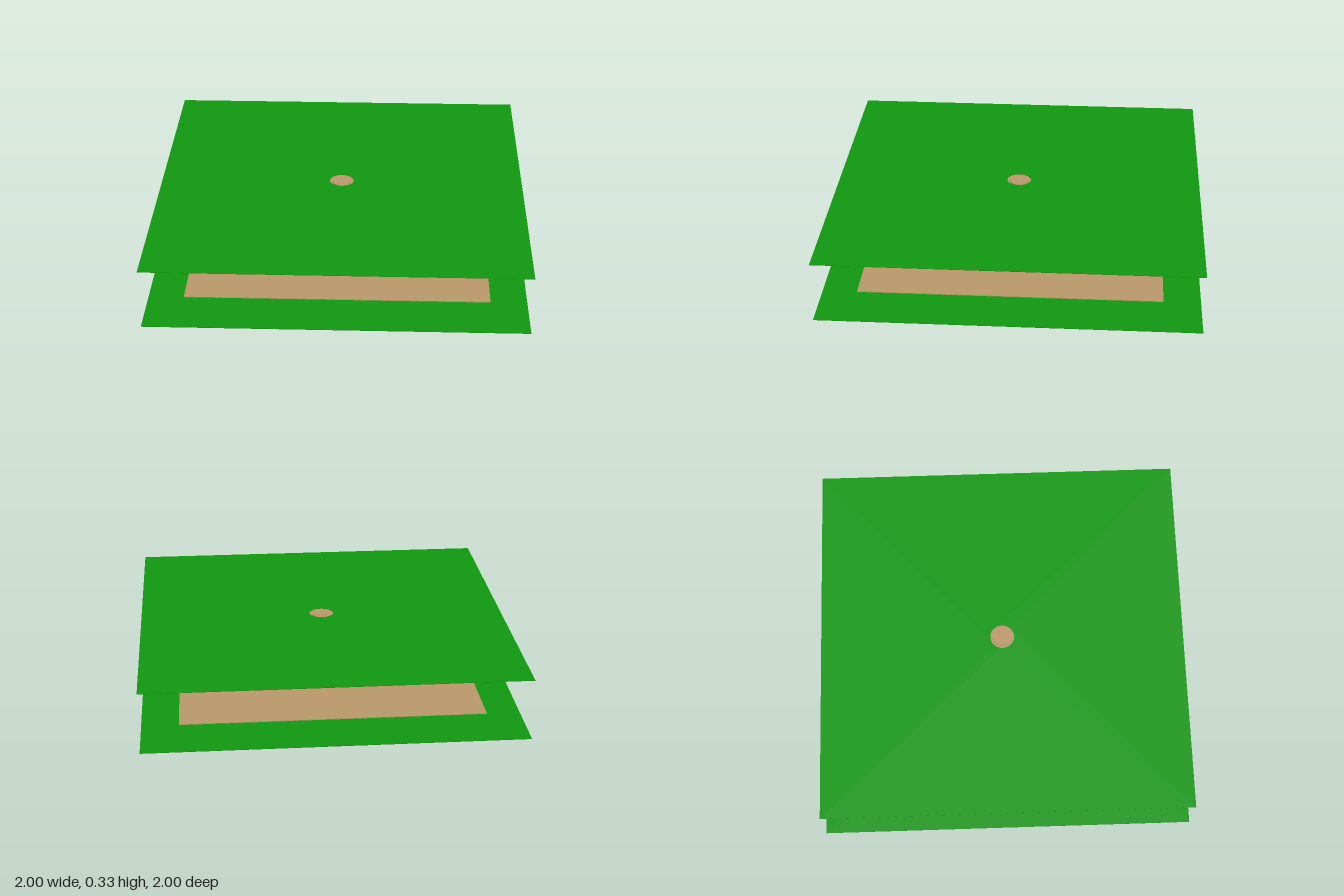
import * as THREE from 'three';

const green = new THREE.MeshStandardMaterial({ color: 0x0f960f });
const copper = new THREE.MeshStandardMaterial({ color: 0xb8976a });
const pale = new THREE.MeshStandardMaterial({ color: 0xf4f0ea });

// Thin square sheet with a round hole; y is its underside
function sheet(name, half, hole, y, thickness, material) {
  const shape = new THREE.Shape([
    new THREE.Vector2(-half, -half), new THREE.Vector2(half, -half),
    new THREE.Vector2(half, half), new THREE.Vector2(-half, half),
  ]);
  shape.holes.push(new THREE.Path().absarc(0, 0, hole, 0, Math.PI * 2, true));
  const geometry = new THREE.ExtrudeGeometry(shape, { depth: thickness, bevelEnabled: false, curveSegments: 32 });
  geometry.rotateX(-Math.PI / 2);
  const mesh = new THREE.Mesh(geometry, material);
  mesh.name = name;
  mesh.position.y = y;
  return mesh;
}

// Upright round part between two heights
function round(name, radius, y0, y1, material) {
  const mesh = new THREE.Mesh(new THREE.CylinderGeometry(radius, radius, y1 - y0, 32), material);
  mesh.name = name;
  mesh.position.y = (y0 + y1) / 2;
  return mesh;
}

export function createModel() {
  const model = new THREE.Group();
  model.name = 'layeredBoard';

  // Outer green sheets with a clearance hole around the pads
  model.add(sheet('bottomMask', 1, 0.066, 0, 0.002, green));
  model.add(sheet('topMask', 1, 0.066, 0.328, 0.002, green));

  // Inner copper planes, joined to the barrel
  model.add(sheet('lowerCopperPlane', 0.8, 0.028, 0.055, 0.004, copper));
  model.add(sheet('upperCopperPlane', 0.8, 0.028, 0.274, 0.004, copper));

  // Central barrel with a pad at each end
  model.add(round('barrel', 0.029, 0.007, 0.326, copper));
  model.add(round('bottomPad', 0.051, 0.008, 0.014, copper));
  model.add(round('topPad', 0.051, 0.319, 0.325, copper));

  // Pale core showing at the lower end of the barrel
  model.add(round('core', 0.018, 0.006, 0.02, pale));
  return model;
}
